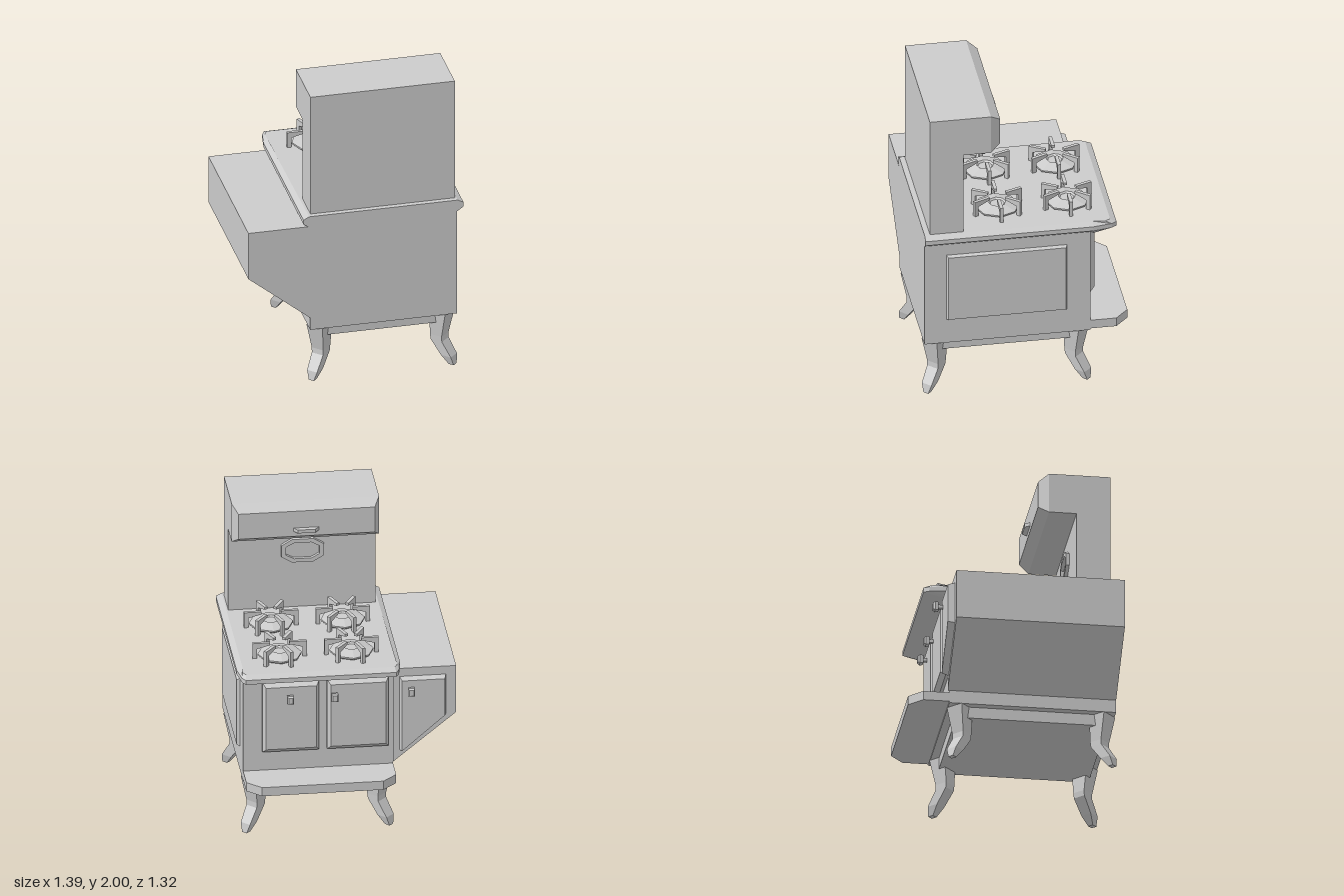
import * as THREE from 'three';

const material = new THREE.MeshStandardMaterial({ color: 0xcccccc, flatShading: true });

function add(parent, name, geometry) {
  const mesh = new THREE.Mesh(geometry, material);
  mesh.name = name;
  parent.add(mesh);
  return mesh;
}

// Box from its minimum and maximum corners
function box(parent, name, [x0, y0, z0], [x1, y1, z1]) {
  const g = new THREE.BoxGeometry(x1 - x0, y1 - y0, z1 - z0);
  return add(parent, name, g.translate((x0 + x1) / 2, (y0 + y1) / 2, (z0 + z1) / 2));
}

// Closed solid through convex cross-sections; faces are turned outward by signed volume
function loft(loops) {
  const tris = [];
  const n = loops[0].length;
  for (let k = 0; k + 1 < loops.length; k++) {
    const a = loops[k], b = loops[k + 1];
    for (let i = 0; i < n; i++) {
      const j = (i + 1) % n;
      tris.push([a[i], a[j], b[j]], [a[i], b[j], b[i]]);
    }
  }
  const first = loops[0], last = loops[loops.length - 1];
  for (let i = 1; i + 1 < n; i++) {
    tris.push([first[0], first[i + 1], first[i]], [last[0], last[i], last[i + 1]]);
  }
  const o = new THREE.Vector3(...first[0]);
  let volume = 0;
  for (const t of tris) {
    const [p, q, r] = t.map((c) => new THREE.Vector3(...c).sub(o));
    volume += p.dot(q.cross(r));
  }
  if (volume < 0) tris.forEach((t) => t.reverse());
  const g = new THREE.BufferGeometry();
  g.setAttribute('position', new THREE.Float32BufferAttribute(tris.flat(2), 3));
  g.computeVertexNormals();
  return g;
}

const rectXY = (x0, x1, y0, y1, z) => [[x0, y0, z], [x1, y0, z], [x1, y1, z], [x0, y1, z]];

// Square knob on a stem, facing -z
function knob(parent, x, y, z) {
  const g = new THREE.Group();
  g.name = 'knob';
  box(g, 'knobStem', [x - 0.011, y - 0.011, z - 0.04], [x + 0.011, y + 0.011, z]);
  add(g, 'knobHead', loft([
    rectXY(x - 0.02, x + 0.02, y - 0.026, y + 0.026, z - 0.03),
    rectXY(x - 0.022, x + 0.022, y - 0.028, y + 0.028, z - 0.052),
    rectXY(x - 0.014, x + 0.014, y - 0.02, y + 0.02, z - 0.065),
  ]));
  parent.add(g);
}

function burner(parent, x, z) {
  const g = new THREE.Group();
  g.name = 'burner';
  g.position.set(x, 1.168, z);
  // Eight-sided dish with a raised centre
  const profile = [[0.105, 0], [0.14, 0.02], [0.14, 0.03], [0.055, 0.052], [0.045, 0.042], [0, 0.042]]
    .map((p) => new THREE.Vector2(...p));
  add(g, 'burnerDish', new THREE.LatheGeometry(profile, 8));
  // Six upright prongs, each an L with a tapered arm
  const arm = new THREE.Shape([[0.172, 0], [0.172, 0.107], [0.062, 0.107], [0.062, 0.09], [0.145, 0.068], [0.145, 0]]
    .map((p) => new THREE.Vector2(...p)));
  for (const deg of [0, 51, 110, 180, 239, 293]) {
    const geo = new THREE.ExtrudeGeometry(arm, { depth: 0.022, bevelEnabled: false }).translate(0, 0, -0.011);
    add(g, 'grateProng', geo).rotation.y = THREE.MathUtils.degToRad(deg);
  }
  parent.add(g);
}

export function createModel() {
  const model = new THREE.Group();
  model.name = 'kitchenStove';

  // Main body, plinth and side panel
  box(model, 'ovenBody', [-0.3, 0.365, -0.42], [0.65, 1.1, 0.64]);
  box(model, 'plinth', [-0.25, 0.29, -0.37], [0.6, 0.365, 0.59]);
  add(model, 'sidePanel', loft([
    [[0.65, 0.535, -0.27], [0.65, 1.01, -0.27], [0.65, 1.01, 0.5], [0.65, 0.535, 0.5]],
    [[0.672, 0.545, -0.26], [0.672, 1, -0.26], [0.672, 1, 0.49], [0.672, 0.545, 0.49]],
  ]));

  // Cooktop slab with bevelled rim and slightly clipped corners
  const rim = (y, side, front, cut) => [
    [-0.3 - side, y, 0.64], [-0.3 - side, y, -0.43], [-0.32 - side + cut, y, front + 0.035],
    [-0.3 - side + cut, y, front], [0.65 + side - cut, y, front],
    [0.67 + side - cut, y, front + 0.035], [0.65 + side, y, -0.43], [0.65 + side, y, 0.64],
  ];
  add(model, 'cooktop', loft([
    rim(1.093, 0.005, -0.47, 0.002), rim(1.12, 0.043, -0.585, 0.04),
    rim(1.15, 0.043, -0.585, 0.04), rim(1.17, 0.006, -0.545, 0.01),
  ]));

  // Side compartment with a sloping underside
  const sideBox = (z) => [[-0.7, 1.1, z], [-0.7, 0.775, z], [-0.3, 0.45, z], [-0.3, 1.1, z]];
  add(model, 'sideCompartment', loft([sideBox(-0.43), sideBox(0.64)]));

  // Bevelled doors
  for (const [x0, x1] of [[0.17, 0.53], [-0.27, 0.12]]) {
    add(model, 'door', loft([
      rectXY(x0, x1, 0.57, 1.055, -0.415),
      rectXY(x0, x1, 0.57, 1.055, -0.44),
      rectXY(x0 + 0.02, x1 - 0.02, 0.6, 1.03, -0.47),
    ]));
  }
  const sideDoor = (z, d) => [
    [-0.635 + d, 1.045 - d, z], [-0.635 + d, 0.765 + d, z],
    [-0.34 - d, 0.53 + d, z], [-0.34 - d, 1.045 - d, z],
  ];
  add(model, 'sideDoor', loft([sideDoor(-0.425, 0), sideDoor(-0.475, 0.012)]));
  knob(model, 0.36, 0.96, -0.465);
  knob(model, 0.08, 0.96, -0.465);
  knob(model, -0.405, 0.975, -0.475);

  // Shelf with clipped corners
  const shelf = (y) => [
    [-0.3, y, -0.42], [-0.3, y, -0.585], [-0.21, y, -0.67],
    [0.56, y, -0.67], [0.65, y, -0.585], [0.65, y, -0.42],
  ];
  add(model, 'shelf', loft([shelf(0.375), shelf(0.435)]));

  // Four curved legs: diamond sections as [y, inset from corner, half size]
  const sections = [[0.365, 0.078, 0.083], [0.19, 0.092, 0.06], [0.155, 0.09, 0.058], [0.06, 0.042, 0.052], [0, 0.022, 0.026]];
  for (const sx of [-1, 1]) {
    for (const sz of [-1, 1]) {
      add(model, 'leg', loft(sections.map(([y, inset, h]) => {
        const x = 0.175 + sx * (0.475 - inset), z = 0.11 + sz * (0.53 - inset);
        return [[x + h, y, z], [x, y, z + h], [x - h, y, z], [x, y, z - h]];
      })));
    }
  }

  // Tall backboard and overhanging hood
  box(model, 'backboard', [-0.29, 1.16, 0.39], [0.645, 2, 0.605]);
  add(model, 'hood', loft([
    rectXY(-0.29, 0.645, 1.735, 2, 0.39),
    rectXY(-0.29, 0.645, 1.735, 2, 0.215),
    rectXY(-0.255, 0.61, 1.78, 1.955, 0.15),
  ]));
  const handle = (y) => [[0.095, y, 0.155], [0.125, y, 0.117], [0.235, y, 0.117], [0.265, y, 0.155]];
  add(model, 'hoodHandle', loft([handle(1.815), handle(1.838)]));

  // Elongated eight-sided ring on the backboard
  const octagon = (w, h) => [[-w, -h / 2], [-w / 2, -h], [w / 2, -h], [w, -h / 2], [w, h / 2], [w / 2, h], [-w / 2, h], [-w, h / 2]]
    .map((p) => new THREE.Vector2(...p));
  const ring = new THREE.Shape(octagon(0.135, 0.08));
  ring.holes.push(new THREE.Path(octagon(0.107, 0.055).reverse()));
  const ringGeo = new THREE.ExtrudeGeometry(ring, { depth: 0.025, bevelEnabled: false });
  add(model, 'backboardRing', ringGeo).position.set(0.175, 1.57, 0.368);

  // Burners
  for (const x of [-0.05, 0.405]) for (const z of [-0.31, 0.135]) burner(model, x, z);

  return model;
}
